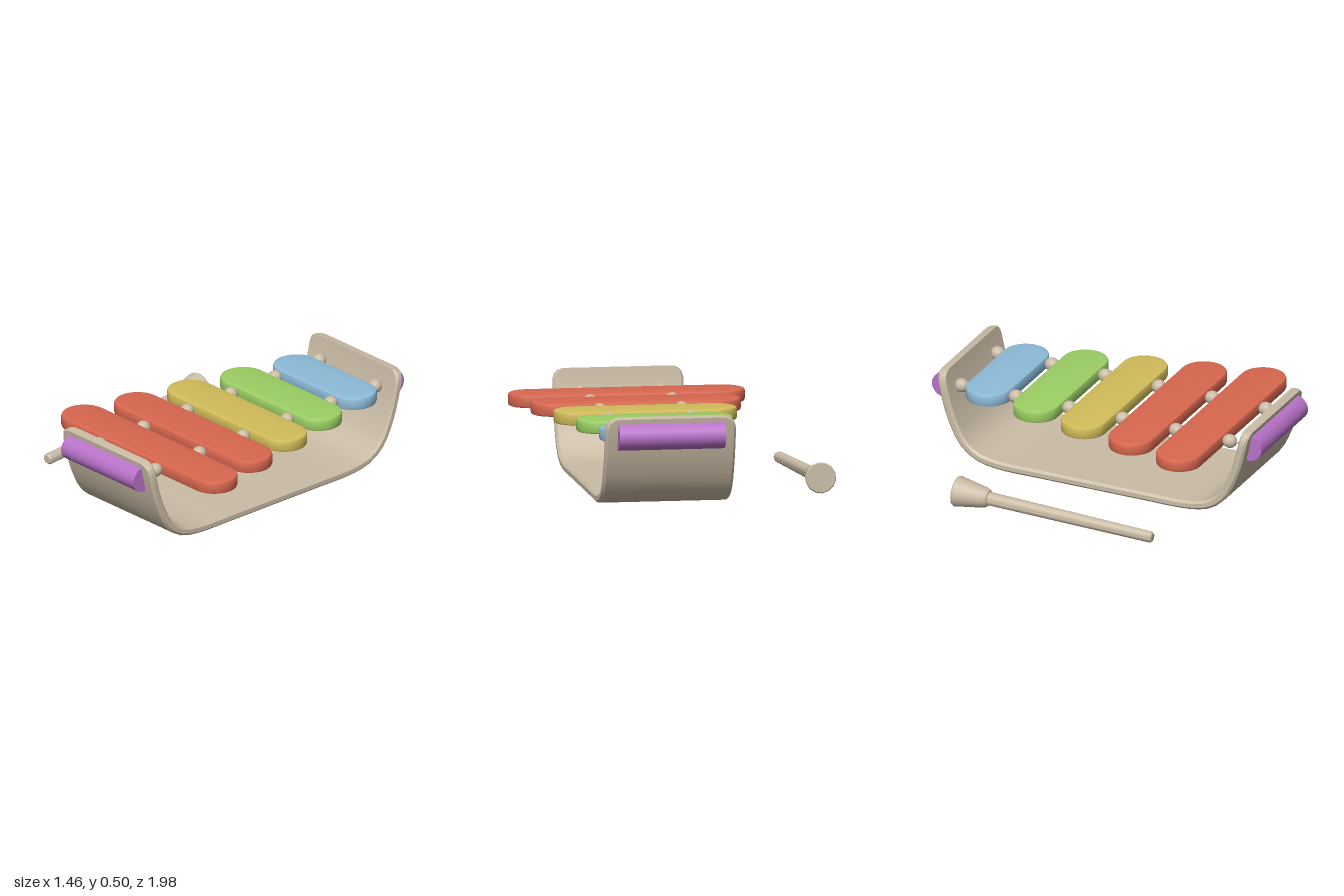
import * as THREE from 'three';
import { toCreasedNormals } from 'three/addons/utils/BufferGeometryUtils.js';

const mat = (name, color) => Object.assign(new THREE.MeshStandardMaterial({ color }), { name });
const V = (x, y, z) => new THREE.Vector3(x, y, z);

function add(parent, name, geometry, material, x = 0, y = 0, z = 0) {
  const mesh = new THREE.Mesh(geometry, material);
  mesh.name = name;
  mesh.position.set(x, y, z);
  parent.add(mesh);
  return mesh;
}

// Bent plank: a chamfered rectangle swept along a U path, corners rounded at both tips
function frameGeometry() {
  const half = [[0.5, 0.885], [0.43, 0.873], [0.3, 0.84], [0.2, 0.802], [0.115, 0.753],
    [0.055, 0.675], [0.029, 0.56], [0.0255, 0.3]];
  const pts = [...half.map(([y, z]) => V(0, y, z)), V(0, 0.0255, 0),
    ...half.slice().reverse().map(([y, z]) => V(0, y, -z))];
  const curve = new THREE.CatmullRomCurve3(pts, false, 'centripetal');
  const total = curve.getLength(), r = 0.06, h = 0.0235, c = 0.012;
  const tip = [0, 0.005, 0.015, 0.03, 0.06];
  const steps = [...tip];
  for (let i = 1; i < 44; i++) steps.push(r + (total - 2 * r) * i / 44);
  steps.push(...tip.map(s => total - s).reverse());
  const pos = [], idx = [], n = 8;
  steps.forEach((s, i) => {
    const u = Math.min(1, s / total), p = curve.getPointAt(u), t = curve.getTangentAt(u);
    const e = Math.max(0, r - Math.min(s, total - s));
    const w = 0.347 - (r - Math.sqrt(r * r - e * e));
    const ring = [[-w + c, -h], [w - c, -h], [w, -h + c], [w, h - c],
      [w - c, h], [-w + c, h], [-w, h - c], [-w, -h + c]];
    ring.forEach(([x, k]) => pos.push(x, p.y - t.z * k, p.z + t.y * k));
    if (i === 0) return;
    for (let j = 0; j < n; j++) {
      const a = (i - 1) * n + j, b = (i - 1) * n + (j + 1) % n;
      idx.push(a, a + n, b + n, a, b + n, b);
    }
  });
  const last = (steps.length - 1) * n;
  for (let j = 1; j < n - 1; j++) idx.push(0, j, j + 1, last, last + j + 1, last + j);
  const g = new THREE.BufferGeometry();
  g.setAttribute('position', new THREE.Float32BufferAttribute(pos, 3));
  g.setIndex(idx);
  return toCreasedNormals(g, 0.6);
}

// Round-ended bar with softened edges, lying flat and centred
function barGeometry(length, width, height) {
  const b = 0.012, r = width / 2 - b, x = length / 2 - width / 2;
  const s = new THREE.Shape();
  s.absarc(x, 0, r, -Math.PI / 2, Math.PI / 2, false);
  s.absarc(-x, 0, r, Math.PI / 2, Math.PI * 1.5, false);
  const g = new THREE.ExtrudeGeometry(s, { depth: height - 2 * b, bevelSize: b,
    bevelThickness: b, bevelSegments: 2, curveSegments: 12 });
  g.translate(0, 0, b - height / 2).rotateX(-Math.PI / 2);
  return toCreasedNormals(g, 0.7);
}

// Straight rod between two points
function rod(parent, name, a, b, radius, material) {
  const g = new THREE.TubeGeometry(new THREE.LineCurve3(a, b), 1, radius, 6);
  add(parent, name, g, material);
}

export function createModel() {
  const model = new THREE.Group();
  model.name = 'xylophone';
  const wood = mat('wood', 0xcabca6);
  const red = mat('red', 0xd9674f);
  const yellow = mat('yellow', 0xd2bc5a);
  const green = mat('green', 0x9ccf64);
  const blue = mat('blue', 0x8dbbd8);
  const purple = mat('purple', 0xb972c9);

  // Instrument, turned slightly from the front
  const body = new THREE.Group();
  body.name = 'instrument';
  body.position.x = 0.18;
  body.rotation.y = -0.132;
  model.add(body);
  add(body, 'frame', frameGeometry(), wood);

  // Half-round grips on the outside of both end walls
  for (const side of [1, -1]) {
    const g = new THREE.CylinderGeometry(0.073, 0.073, 0.565, 14, 1, false, 0, Math.PI);
    g.rotateZ(Math.PI / 2).rotateX(Math.PI / 2);
    g.computeBoundingBox();
    // keep the round side facing outward
    if (g.boundingBox.max.z < 0.01) g.rotateY(Math.PI);
    g.scale(1, 1, 1.15);
    const grip = add(body, side > 0 ? 'frontGrip' : 'backGrip', g, purple, 0, 0.402, side * 0.878);
    if (side < 0) grip.rotation.y = Math.PI;
  }

  // Sounding bars, shortest at the back
  const pitch = 0.312, first = -0.657;
  [blue, green, yellow, red, red].forEach((m, i) =>
    add(body, 'bar' + (i + 1), barGeometry(0.69 + 0.142 * i, 0.247, 0.068), m,
      0, 0.387, first + pitch * i));

  // Two cords with beads between the bars and frayed front ends
  for (const x of [-0.22, 0.216]) {
    rod(body, 'cord', V(x, 0.39, -0.86), V(x, 0.39, 0.8), 0.007, wood);
    for (const d of [-0.018, 0.016])
      rod(body, 'cordEnd', V(x, 0.39, 0.79), V(x + d, 0.392 + d * 0.3, 0.855), 0.004, wood);
    for (let i = 0; i < 6; i++) {
      const z = first + pitch * (i - 0.5) + (i === 0 ? -0.005 : 0);
      const bead = add(body, 'bead', new THREE.SphereGeometry(0.037, 14, 10), wood, x, 0.39, z);
      bead.scale.z = 1.1;
    }
  }

  // Mallet resting beside the instrument
  const tail = V(-0.7, 0.047, 0.47), head = V(-0.595, 0.105, -0.652);
  const len = tail.distanceTo(head);
  const outline = [[0, 0], [0.022, 0], [0.03, 0.01], [0.036, len - 0.19], [0.045, len - 0.187],
    [0.054, len - 0.172], [0.083, len - 0.008], [0.078, len], [0, len]];
  const mallet = add(model, 'mallet', toCreasedNormals(new THREE.LatheGeometry(
    outline.map(([r, y]) => new THREE.Vector2(r, y)), 14), 0.6), wood, ...tail.toArray());
  mallet.quaternion.setFromUnitVectors(V(0, 1, 0), head.clone().sub(tail).normalize());

  return model;
}
